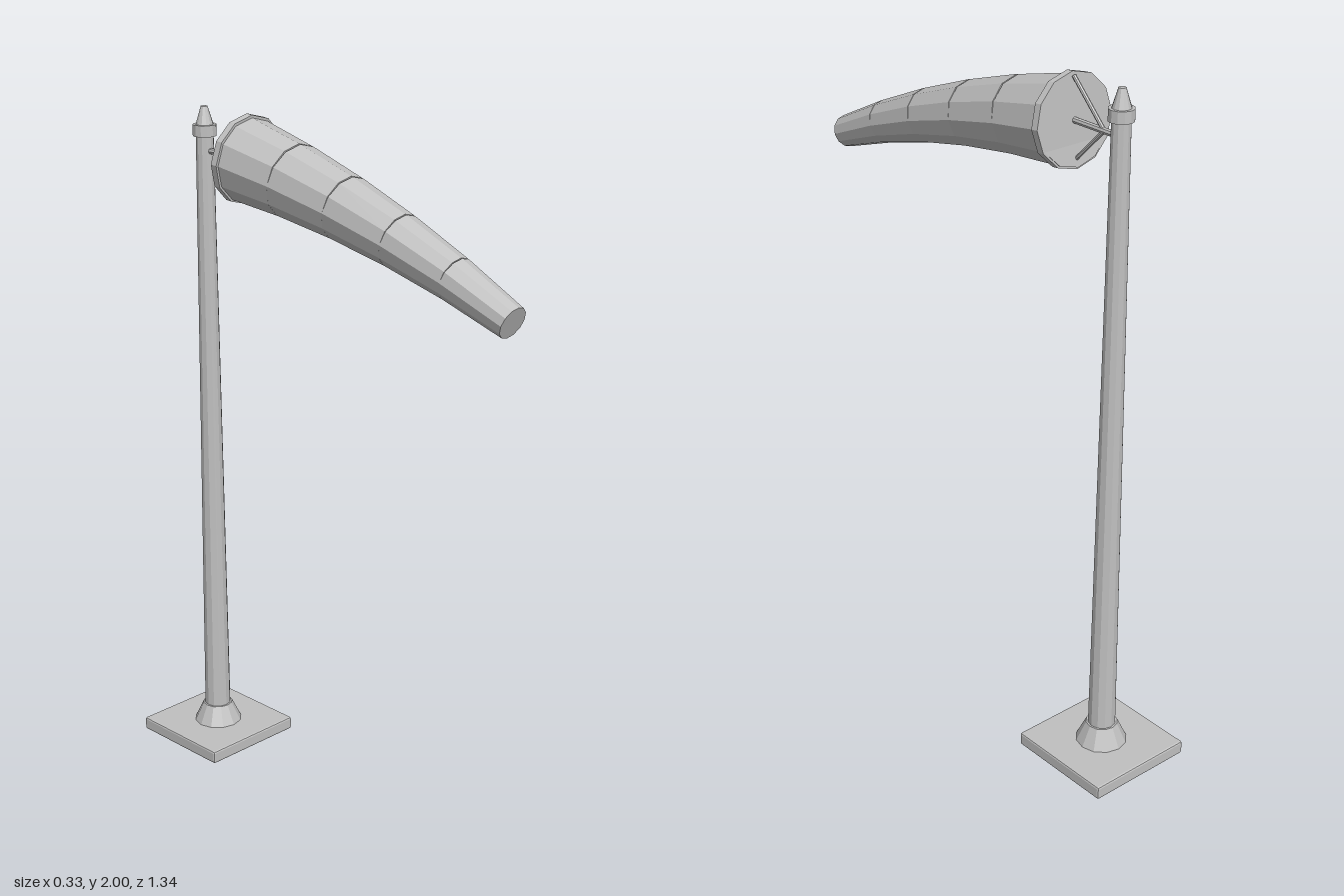
import * as THREE from 'three';
import { RoundedBoxGeometry } from 'three/addons/geometries/RoundedBoxGeometry.js';

export function createModel() {
  const model = new THREE.Group();
  model.name = 'windsock';
  const grey = new THREE.MeshStandardMaterial({ color: 0xc0c0c0, flatShading: true });
  grey.name = 'lightGrey';
  const poleZ = -0.5;

  const add = (name, geometry, parent = model) => {
    const mesh = new THREE.Mesh(geometry, grey);
    mesh.name = name;
    parent.add(mesh);
    return mesh;
  };
  // Tapered cylinder between two points
  const up = new THREE.Vector3(0, 1, 0);
  const taper = (name, from, to, rFrom, rTo, sides, parent) => {
    const a = new THREE.Vector3(...from), b = new THREE.Vector3(...to);
    const dir = b.clone().sub(a);
    const mesh = add(name, new THREE.CylinderGeometry(rTo, rFrom, dir.length(), sides), parent);
    mesh.position.copy(a).add(b).multiplyScalar(0.5);
    mesh.quaternion.setFromUnitVectors(up, dir.normalize());
    return mesh;
  };
  const upright = (name, y0, y1, r0, r1) =>
    taper(name, [0, y0, poleZ], [0, y1, poleZ], r0, r1, 12);

  // Base plate and pole
  const base = add('basePlate', new RoundedBoxGeometry(0.334, 0.04, 0.334, 1, 0.006));
  base.position.set(0, 0.02, poleZ);
  upright('baseCollar', 0.04, 0.1, 0.074, 0.046);
  upright('pole', 0.04, 1.93, 0.041, 0.026);
  upright('poleCap', 1.915, 1.948, 0.035, 0.035);
  upright('finial', 1.948, 2.0, 0.026, 0.01);

  // Arm and braces holding the mouth hoop
  const frame = new THREE.Group();
  frame.name = 'swivelFrame';
  model.add(frame);
  taper('arm', [0, 1.873, poleZ], [0, 1.873, -0.32], 0.009, 0.009, 8, frame);
  for (const side of [1, -1]) {
    taper('brace', [0, 1.873, -0.44], [0, 1.873 + side * 0.115, -0.325], 0.006, 0.006, 8, frame);
  }

  // Sock: straight tapered sections, each drooping a little more than the last
  const sock = new THREE.Group();
  sock.name = 'sock';
  model.add(sock);
  const angles = [10, 13, 16, 19, 22];
  const stepZ = 0.197, rMouth = 0.122, rTip = 0.047;
  const radius = (i) => rMouth + (rTip - rMouth) * i / angles.length;
  let y = 1.871, z = -0.327;
  angles.forEach((deg, i) => {
    const nextY = y - Math.tan(THREE.MathUtils.degToRad(deg)) * stepZ;
    const nextZ = z + stepZ;
    taper('sockSection', [0, y, z], [0, nextY, nextZ], radius(i), radius(i + 1), 12, sock);
    y = nextY;
    z = nextZ;
  });

  // Hoop around the mouth
  taper('mouthHoop', [0, 1.872, -0.332], [0, 1.87, -0.31], 0.128, 0.128, 12, sock);
  return model;
}
